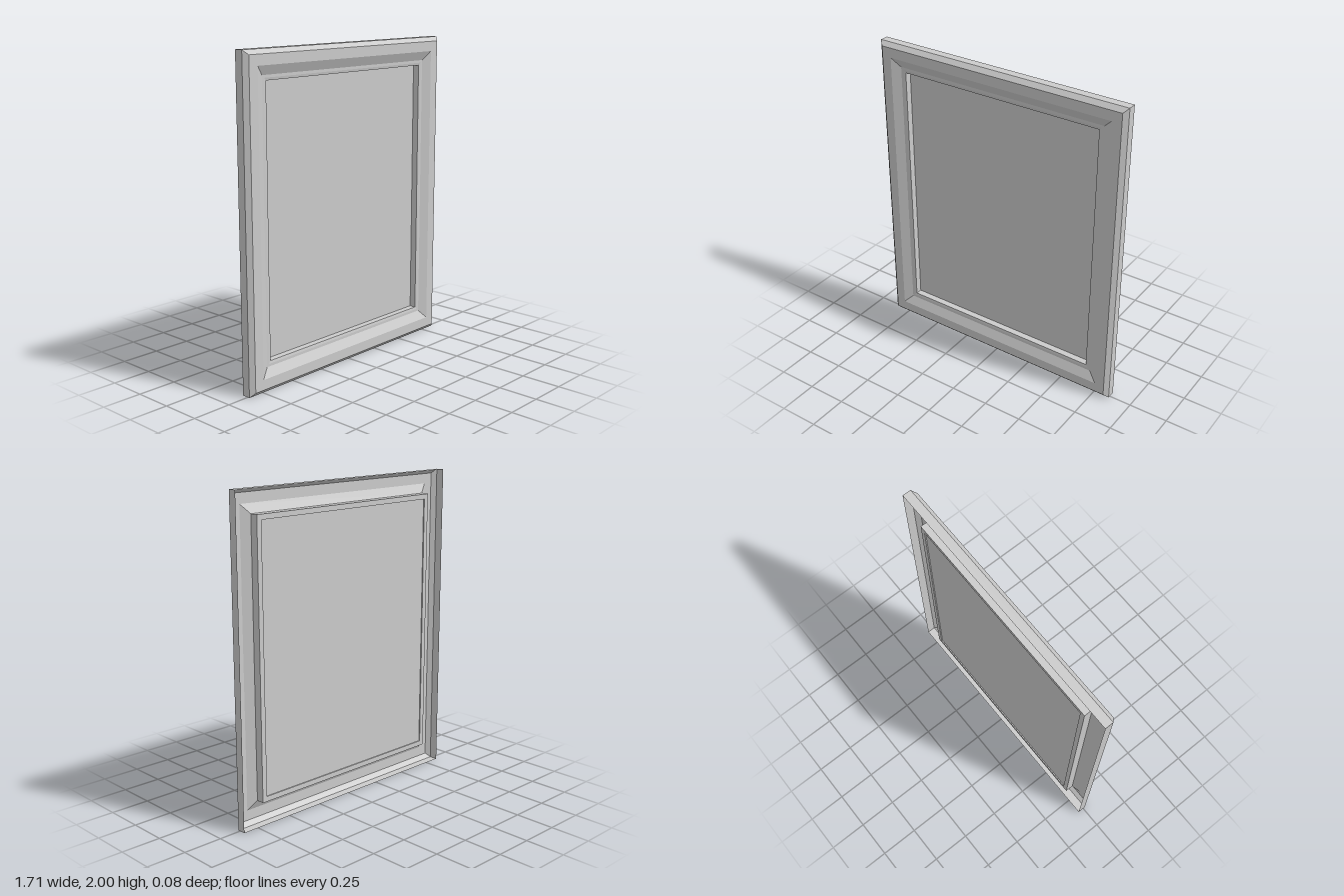
import * as THREE from 'three';

const HALF_W = 0.855, HALF_H = 1;

// Sweeps a profile of [inset from outer edge, z] around a mitred rectangle.
function mitredFrame(profile, material, name) {
  const corners = [[-1, -1], [1, -1], [1, 1], [-1, 1]];
  const point = ([inset, z], k) => {
    const [sx, sy] = corners[k % 4];
    return [sx * (HALF_W - inset), HALF_H + sy * (HALF_H - inset), z];
  };
  const positions = [];
  for (let i = 0; i < profile.length - 1; i++) {
    for (let k = 0; k < 4; k++) {
      const a = point(profile[i], k), b = point(profile[i], k + 1);
      const c = point(profile[i + 1], k + 1), d = point(profile[i + 1], k);
      positions.push(...a, ...b, ...c, ...a, ...c, ...d);
    }
  }
  const geometry = new THREE.BufferGeometry();
  geometry.setAttribute('position', new THREE.Float32BufferAttribute(positions, 3));
  geometry.computeVertexNormals();
  const mesh = new THREE.Mesh(geometry, material);
  mesh.name = name;
  return mesh;
}

export function createModel() {
  const group = new THREE.Group();
  group.name = 'pictureFrame';
  const material = new THREE.MeshStandardMaterial({
    color: 0xcccccc, flatShading: true, side: THREE.DoubleSide,
  });

  // Open-backed moulding: side wall, outer chamfer, flat face, inner slope
  group.add(mitredFrame(
    [[0, -0.04], [0, 0.014], [0.027, 0.04], [0.09, 0.04], [0.146, 0.012]],
    material, 'outerMoulding'));

  // Inner lip, a closed section behind the slope
  group.add(mitredFrame(
    [[0.146, -0.04], [0.146, 0.012], [0.162, 0.012], [0.178, 0.009], [0.178, -0.04], [0.146, -0.04]],
    material, 'innerLip'));

  // Thin panel set just in from the back
  const inset = 0.178;
  const panel = new THREE.Mesh(
    new THREE.PlaneGeometry(2 * (HALF_W - inset), 2 * (HALF_H - inset)), material);
  panel.name = 'panel';
  panel.position.set(0, HALF_H, -0.033);
  group.add(panel);

  return group;
}
